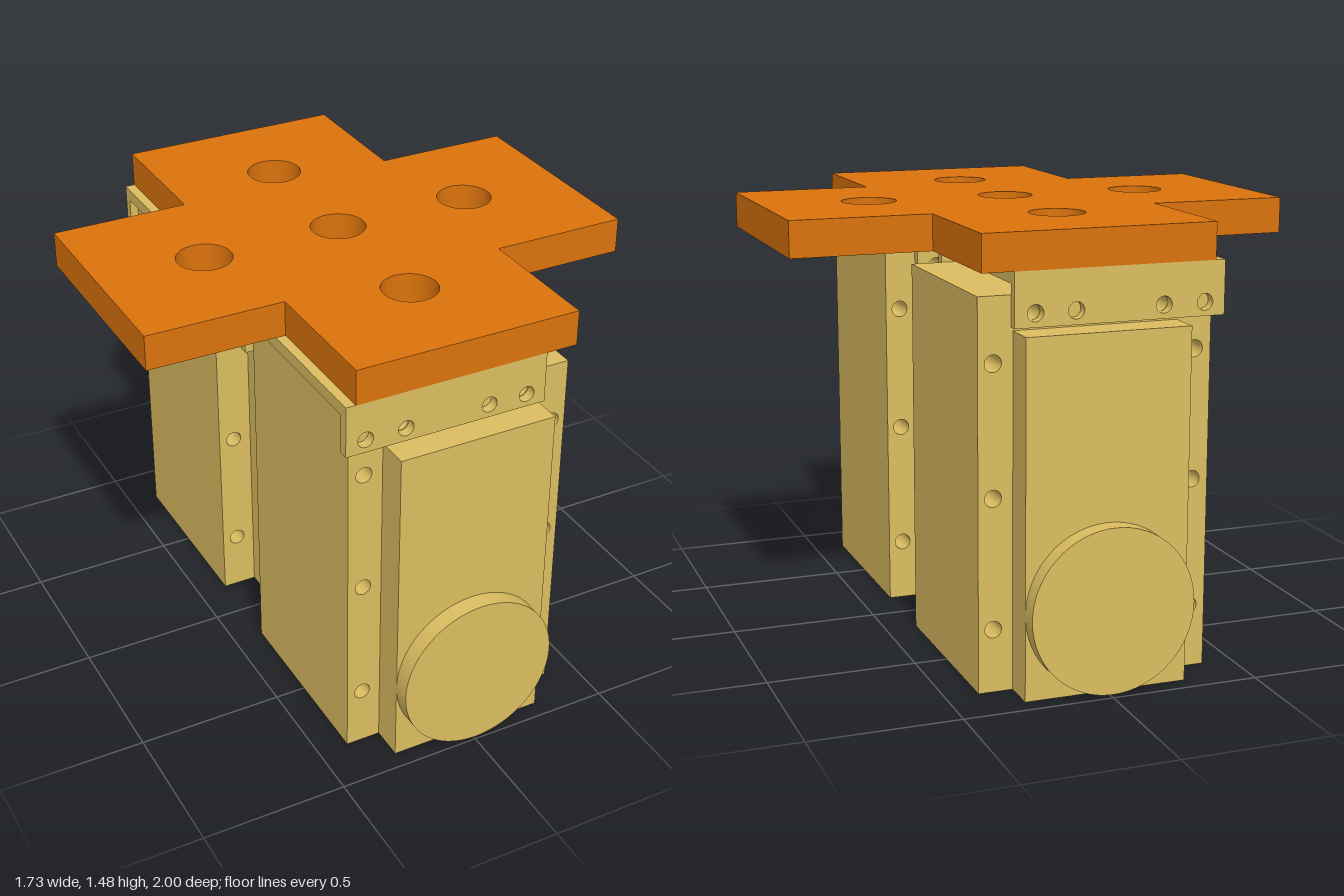
import * as THREE from 'three';

const tan = new THREE.MeshStandardMaterial({ color: 0xdcbd60 });
const orange = new THREE.MeshStandardMaterial({ color: 0xdb730d });

function add(parent, name, geometry, material, x = 0, y = 0, z = 0) {
  const mesh = new THREE.Mesh(geometry, material);
  mesh.name = name;
  mesh.position.set(x, y, z);
  parent.add(mesh);
  return mesh;
}

// Plate from an outline with round holes [x, y, radius], centred on its depth
function plate(points, holes, depth) {
  const shape = new THREE.Shape(points.map(([x, y]) => new THREE.Vector2(x, y)));
  for (const [x, y, r] of holes) {
    shape.holes.push(new THREE.Path().absarc(x, y, r, 0, Math.PI * 2, true));
  }
  const geometry = new THREE.ExtrudeGeometry(shape, { depth, bevelEnabled: false, curveSegments: 24 });
  return geometry.translate(0, 0, -depth / 2);
}

const rect = (x0, x1, y0, y1) => [[x0, y0], [x1, y0], [x1, y1], [x0, y1]];

function createUnit() {
  const unit = new THREE.Group();
  unit.name = 'motorUnit';

  // Main housing with through holes down both edges and near the top
  const holes = [];
  for (const side of [-1, 1]) {
    for (const y of [0.21, 0.64, 1.07]) holes.push([side * 0.34, y, 0.028]);
    holes.push([side * 0.215, 1.225, 0.027]);
  }
  add(unit, 'housing', plate(rect(-0.395, 0.39, 0, 1.28), holes, 0.668), tan);

  // Raised covers, round end caps and bracket flanges on both faces
  const flangeHoles = [-0.355, -0.215, 0.08, 0.215].map((x) => [x, 1.225, 0.027]);
  for (const side of [-1, 1]) {
    add(unit, 'cover', new THREE.BoxGeometry(0.55, 1.168, 0.115), tan, 0, 0.584, side * 0.3915);
    const cap = add(unit, 'endCap', new THREE.CylinderGeometry(0.275, 0.275, 0.061, 64), tan, 0, 0.286, side * 0.4795);
    cap.rotation.x = Math.PI / 2;
    add(unit, 'bracketFlange', plate(rect(-0.423, 0.283, 1.18, 1.357), flangeHoles, 0.034), tan, 0, 0, side * 0.354);
  }

  // Bracket web joining the flanges, with a gap above the housing
  add(unit, 'bracketWeb', new THREE.BoxGeometry(0.706, 0.042, 0.674), tan, -0.07, 1.336, 0);
  return unit;
}

export function createModel() {
  const model = new THREE.Group();
  model.name = 'twinMotorMount';

  for (const side of [1, -1]) {
    const unit = createUnit();
    unit.position.z = side * 0.49;
    model.add(unit);
  }

  // Cross-shaped top plate with five holes
  const a = 0.863, b = 0.39;
  const cross = [
    [-b, -a], [b, -a], [b, -b], [a, -b], [a, b], [b, b],
    [b, a], [-b, a], [-b, b], [-a, b], [-a, -b], [-b, -b],
  ];
  const holes = [[0, 0], [0.49, 0], [-0.49, 0], [0, 0.49], [0, -0.49]].map(([x, y]) => [x, y, 0.094]);
  const top = add(model, 'crossPlate', plate(cross, holes, 0.121), orange, 0, 1.4175, 0);
  top.rotation.x = -Math.PI / 2;

  return model;
}
